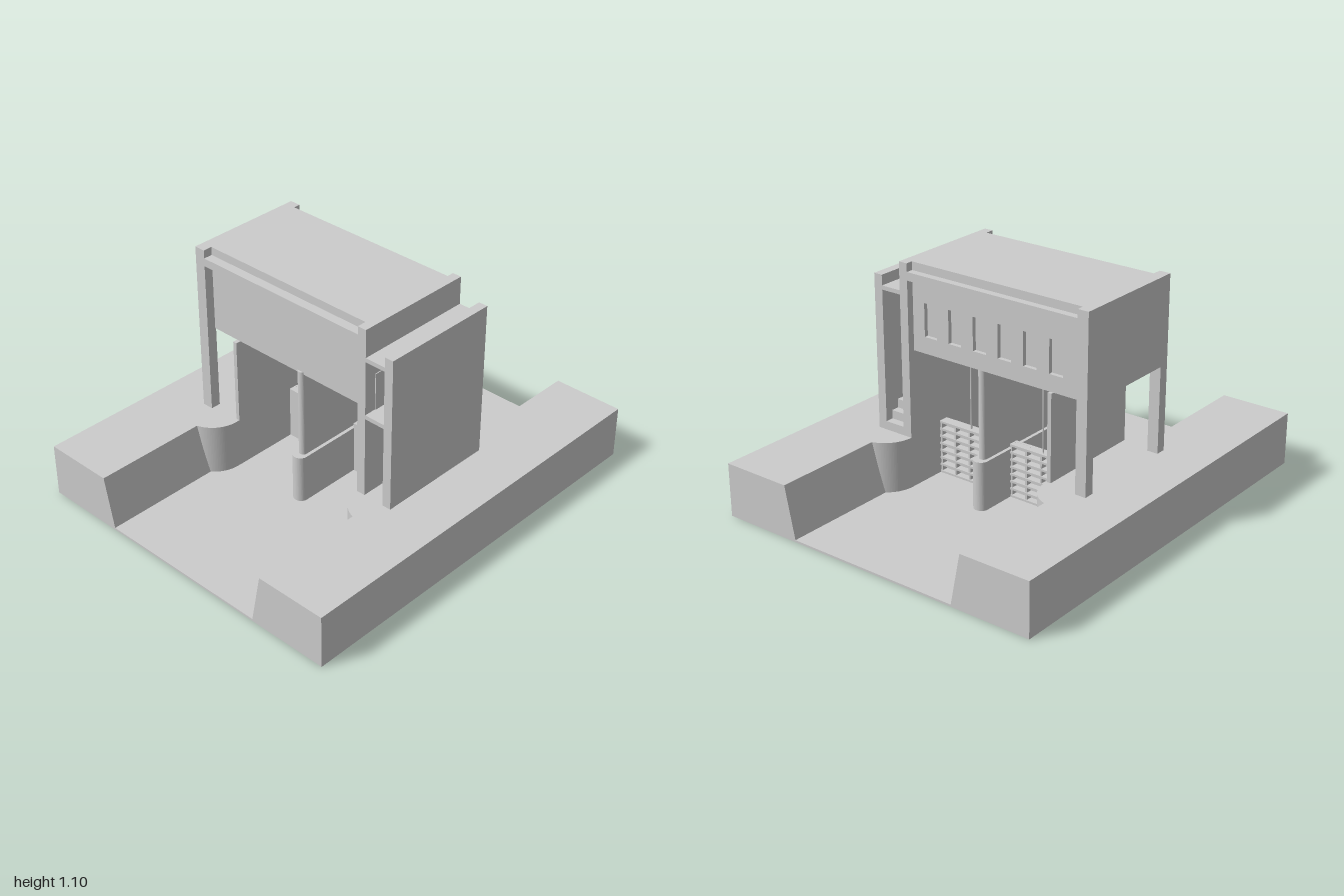
import * as THREE from 'three';

const mat = new THREE.MeshStandardMaterial({ color: 0xcccccc, side: THREE.DoubleSide });

export function createModel() {
  const model = new THREE.Group();

  const add = (name, geometry, parent = model) => {
    const mesh = new THREE.Mesh(geometry, mat);
    mesh.name = name;
    parent.add(mesh);
    return mesh;
  };
  // Box given by its limits on each axis
  const box = (name, x0, x1, y0, y1, z0, z1, parent) => {
    const g = new THREE.BoxGeometry(x1 - x0, y1 - y0, z1 - z0);
    g.translate((x0 + x1) / 2, (y0 + y1) / 2, (z0 + z1) / 2);
    return add(name, g, parent);
  };
  const polygon = (pts) => new THREE.Shape(pts.map(([x, y]) => new THREE.Vector2(x, y)));
  const extrude = (shape, depth) =>
    new THREE.ExtrudeGeometry(shape, { depth, bevelEnabled: false, curveSegments: 16 });
  // Plan shape (x, -z) raised from y0 to y1
  const raise = (name, shape, y0, y1) =>
    add(name, extrude(shape, y1 - y0).rotateX(-Math.PI / 2).translate(0, y0, 0));

  // Channel floor and sloping banks
  box('channelFloor', -0.48, 0.48, 0, 0.01, -1, 1);
  for (const s of [1, -1]) {
    const bank = polygon([[s * 0.44, 0], [s * 0.84, 0], [s * 0.84, 0.26], [s * 0.49, 0.26], [s * 0.44, 0.01]]);
    add(s > 0 ? 'leftBank' : 'rightBank', extrude(bank, 2).translate(0, 0, -1));

    // Abutment with curved wing walls blending into the bank
    const plan = new THREE.Shape();
    plan.moveTo(s * 0.38, -0.3);
    plan.lineTo(s * 0.38, 0.3);
    plan.absarc(s * 0.53, 0.3, 0.15, s > 0 ? Math.PI : 0, Math.PI / 2, s > 0);
    plan.lineTo(s * 0.53, -0.45);
    plan.absarc(s * 0.53, -0.3, 0.15, -Math.PI / 2, s > 0 ? -Math.PI : 0, s > 0);
    raise(s > 0 ? 'leftAbutment' : 'rightAbutment', plan, 0.005, 0.26);
  }

  // Central pier and the narrower wall above it, both with round noses
  const stadium = (r, half) => {
    const p = new THREE.Shape();
    p.moveTo(r, -half);
    p.absarc(0, half, r, 0, Math.PI, false);
    p.absarc(0, -half, r, Math.PI, Math.PI * 2, false);
    return p;
  };
  raise('pier', stadium(0.037, 0.263), 0.005, 0.25);
  raise('pierWall', stadium(0.02, 0.245), 0.25, 0.69);

  // Sluice gates: flat front plate, ribbed back, lifting stem
  for (const s of [1, -1]) {
    const gate = new THREE.Group();
    gate.name = s > 0 ? 'leftGate' : 'rightGate';
    model.add(gate);
    const x0 = s > 0 ? 0.035 : -0.38;
    const x1 = s > 0 ? 0.38 : -0.035;
    box('gatePlate', x0, x1, 0.01, 0.275, -0.065, -0.05, gate);
    for (let i = 0; i < 8; i++) {
      const y = 0.01 + i * 0.0364;
      box('gateRib', x0, x1, y, y + 0.01, -0.1, -0.065, gate);
    }
    for (let i = 0; i < 5; i++) {
      const x = x0 + (i * (x1 - x0 - 0.01)) / 4;
      box('gateStiffener', x, x + 0.01, 0.01, 0.275, -0.095, -0.065, gate);
    }
    const stem = new THREE.CylinderGeometry(0.004, 0.004, 0.42, 8);
    add('liftingStem', stem.translate(s * 0.207, 0.48, -0.078), gate);
  }

  // Supporting walls and outer legs
  box('leftSideWall', 0.38, 0.425, 0.26, 1.1, -0.3, 0.3);
  box('rightInnerWall', -0.4, -0.38, 0.26, 0.68, -0.28, 0.28);
  box('frontLeg', -0.6, -0.545, 0.26, 0.68, 0.25, 0.3);
  box('backLeg', -0.6, -0.545, 0.26, 0.68, -0.3, -0.25);

  // Gatehouse: body between the side walls, ledges front and back
  box('rightSideWall', -0.6, -0.545, 0.68, 1.1, -0.3, 0.3);
  box('houseBody', -0.545, 0.38, 0.68, 1.1, -0.245, 0.255);
  box('frontLedge', -0.545, 0.38, 1.02, 1.06, 0.255, 0.3);
  box('backLedge', -0.545, 0.38, 1.02, 1.06, -0.3, -0.265);

  // Back wall with six recessed windows
  const wall = polygon([[-0.545, 0.68], [0.38, 0.68], [0.38, 1.1], [-0.545, 1.1]]);
  for (let i = 0; i < 6; i++) {
    const x = -0.412 + i * 0.138;
    wall.holes.push(new THREE.Path([[-1, 0.76], [-1, 0.92], [1, 0.92], [1, 0.76]]
      .map(([k, y]) => new THREE.Vector2(x + k * 0.036, y))));
  }
  add('windowWall', extrude(wall, 0.02).translate(0, 0, -0.265));

  // Stair bay: outer wall, canopy, landing, door
  box('stairOuterWall', 0.53, 0.575, 0.26, 1.015, -0.3, 0.3);
  box('stairCanopy', 0.425, 0.53, 0.945, 0.965, -0.3, 0.3);
  box('stairLanding', 0.425, 0.53, 0.66, 0.68, 0.1, 0.3);
  box('door', 0.425, 0.429, 0.68, 0.86, 0.13, 0.24);

  // Stair climbing from the back up to the landing, with a sloping underside
  const steps = 10;
  const profile = [[0.1, 0.66], [-0.26, 0.26], [-0.3, 0.26]];
  for (let i = 0; i < steps; i++) {
    const y = 0.26 + ((i + 1) * 0.42) / steps;
    profile.push([-0.3 + i * 0.04, y], [-0.3 + (i + 1) * 0.04, y]);
  }
  add('stair', extrude(polygon(profile), 0.105).rotateY(-Math.PI / 2).translate(0.53, 0, 0));

  return model;
}
